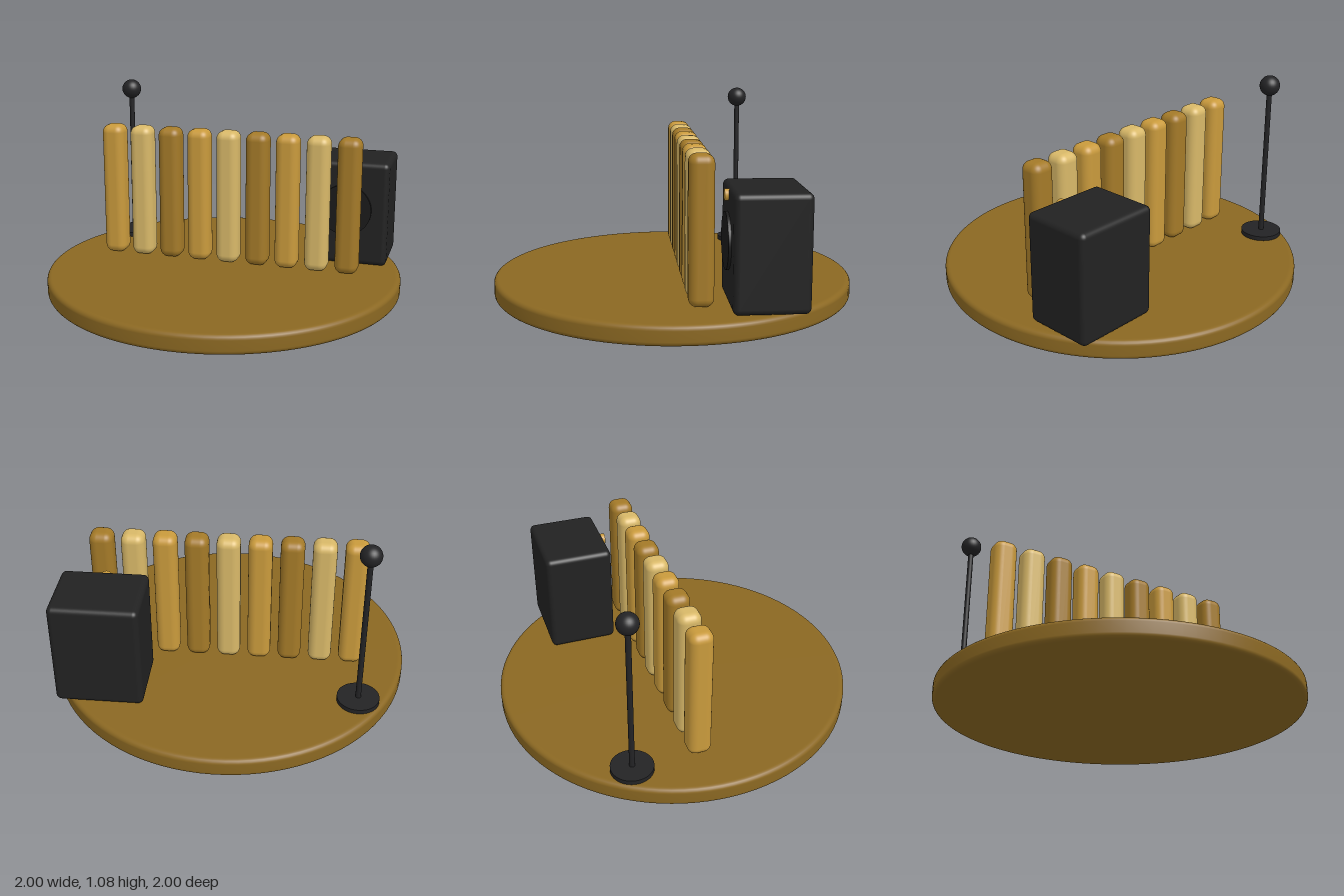
import * as THREE from 'three';
import { RoundedBoxGeometry } from 'three/addons/geometries/RoundedBoxGeometry.js';

const mat = (name, color) => {
  const m = new THREE.MeshStandardMaterial({ color });
  m.name = name;
  return m;
};

export function createModel() {
  const wood = mat('stage wood', 0x8b6822);
  const slatMats = [
    mat('honey wood', 0xc99a3c),
    mat('pale wood', 0xd8b868),
    mat('dark wood', 0xa47a28),
  ];
  const black = mat('cabinet black', 0x222222);
  const coneBlack = mat('cone black', 0x1a1a1a);
  const standBlack = mat('stand black', 0x232325);

  const model = new THREE.Group();
  const add = (parent, name, geometry, material, x, y, z) => {
    const mesh = new THREE.Mesh(geometry, material);
    mesh.name = name;
    mesh.position.set(x, y, z);
    parent.add(mesh);
    return mesh;
  };
  const group = (name) => {
    const g = new THREE.Group();
    g.name = name;
    model.add(g);
    return g;
  };

  // Round stage with softened rims
  const H = 0.105, r = 0.025;
  const profile = [new THREE.Vector2(0, 0), new THREE.Vector2(0.97, 0)];
  for (const [cy, start] of [[r, -Math.PI / 2], [H - r, 0]]) {
    for (let i = 0; i <= 5; i++) {
      const a = start + (i / 5) * Math.PI / 2;
      profile.push(new THREE.Vector2(1 - r + r * Math.cos(a), cy + r * Math.sin(a)));
    }
  }
  profile.push(new THREE.Vector2(0.97, H), new THREE.Vector2(0, H));
  add(model, 'stage', new THREE.LatheGeometry(profile, 96), wood, 0, 0, 0);

  // Row of nine upright slats in three repeating wood tones
  const slats = group('slatScreen');
  const slatGeometry = new RoundedBoxGeometry(0.13, 0.77, 0.13, 5, 0.045);
  for (let i = 0; i < 9; i++) {
    add(slats, 'slat', slatGeometry, slatMats[i % 3], (i - 4) * 0.173, 0.493, -0.093);
  }

  // Speaker cabinet with a large cone and a small brass-toned knob
  const speaker = group('speaker');
  add(speaker, 'cabinet', new RoundedBoxGeometry(0.476, 0.6, 0.386, 4, 0.03), black, 0.653, 0.408, -0.424);
  const cone = add(speaker, 'cone', new THREE.CylinderGeometry(0.147, 0.147, 0.03, 48), coneBlack, 0.653, 0.432, -0.231);
  const knob = add(speaker, 'knob', new THREE.CylinderGeometry(0.03, 0.03, 0.035, 24), slatMats[0], 0.653, 0.665, -0.228);
  cone.rotation.x = knob.rotation.x = Math.PI / 2;

  // Microphone on a slim stand
  const stand = group('microphoneStand');
  stand.position.set(-0.735, 0, -0.465);
  add(stand, 'standFoot', new THREE.CylinderGeometry(0.115, 0.115, 0.025, 40), standBlack, 0, 0.122, 0);
  add(stand, 'standPole', new THREE.CylinderGeometry(0.015, 0.015, 0.87, 16), standBlack, 0, 0.56, 0);
  add(stand, 'microphoneHead', new THREE.SphereGeometry(0.057, 32, 20), standBlack, 0, 1.027, 0);

  return model;
}
